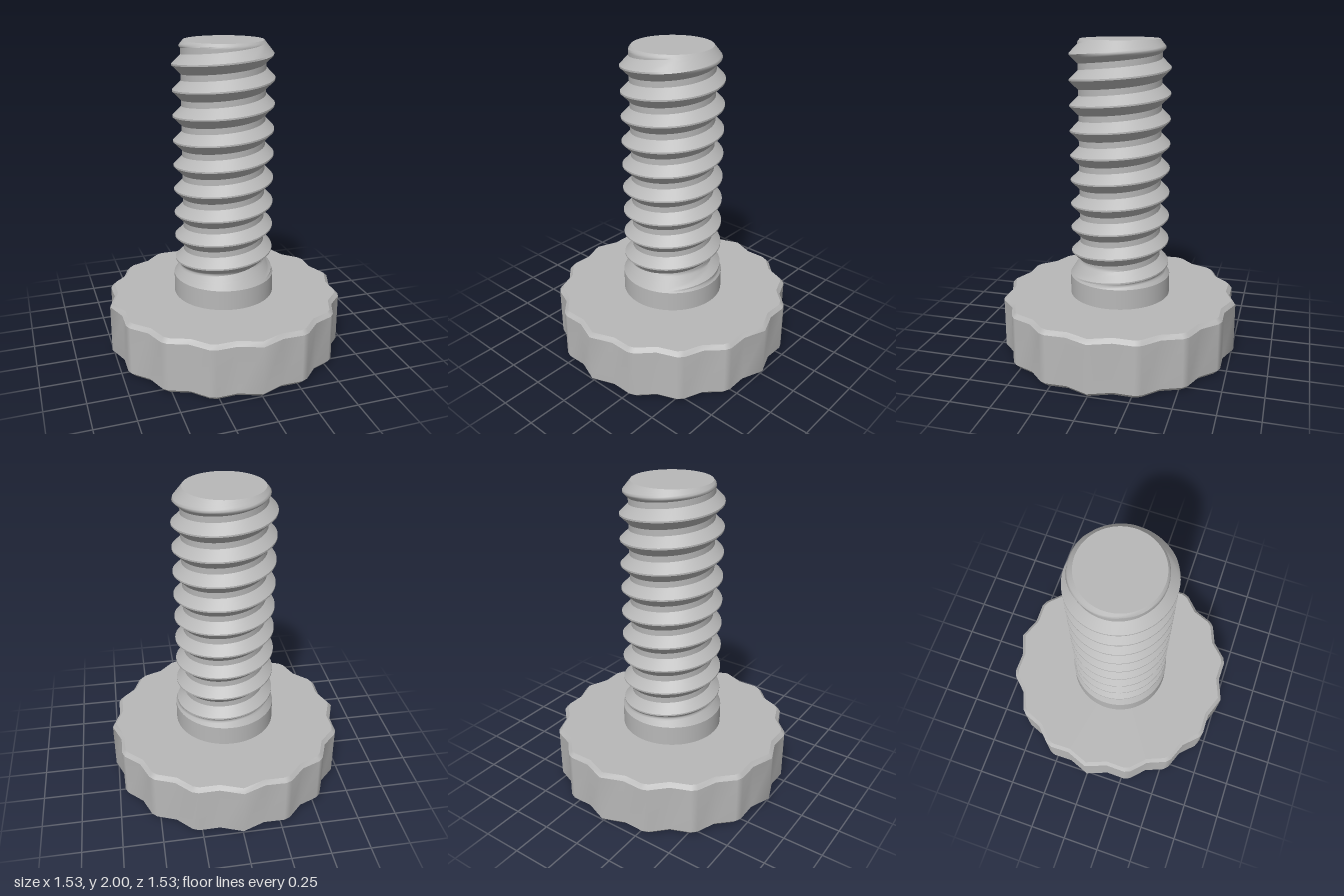
import * as THREE from 'three';

const PITCH = 0.157, CREST_R = 0.315, ROOT_R = 0.26, CREST_HALF = 0.005;
const THREAD_BOTTOM = 0.495, THREAD_TOP = 2, CREST_Y = 1.94, COLLAR_R = 0.325, TIP_R = 0.245;

// Smooth grid surface; u runs anticlockwise seen from above, v runs up the profile
function gridSurface(columns, rows, closed, pointAt) {
  const positions = [], index = [];
  const count = closed ? columns : columns + 1;
  for (let j = 0; j <= rows; j++) {
    for (let i = 0; i < count; i++) positions.push(...pointAt(i, j / rows));
  }
  for (let j = 0; j < rows; j++) {
    for (let i = 0; i < columns; i++) {
      const next = (i + 1) % count;
      const a = j * count + i, b = j * count + next;
      index.push(a, b, b + count, a, b + count, a + count);
    }
  }
  const geometry = new THREE.BufferGeometry();
  geometry.setAttribute('position', new THREE.Float32BufferAttribute(positions, 3));
  geometry.setIndex(index);
  geometry.computeVertexNormals();
  return geometry;
}

// Sixteen shallow lobes; the ones off the axes have narrow blunt tips
function gripOutline() {
  const points = [];
  const add = (degrees, r) => {
    const a = THREE.MathUtils.degToRad(degrees);
    points.push([r * Math.cos(a), -r * Math.sin(a)]);
  };
  for (let i = 0; i < 16; i++) {
    const peak = i * 22.5;
    if (i % 4 === 0) add(peak, 0.765);
    else {
      add(peak - 1.6, 0.763);
      add(peak + 1.6, 0.763);
    }
    add(peak + 11.25, 0.725);
  }
  return points;
}

// Radius of the threaded rod, including the tip chamfer and the run-out at the collar
function threadRadius(y, angle) {
  const turns = (y - CREST_Y) / PITCH - angle / (2 * Math.PI);
  const offset = Math.abs(turns - Math.round(turns)) * PITCH;
  const thread = THREE.MathUtils.clamp(CREST_R - (offset - CREST_HALF), ROOT_R, CREST_R);
  const runOut = COLLAR_R - (y - THREAD_BOTTOM) * 0.65;
  const chamfer = TIP_R + (THREAD_TOP - y) * 0.8;
  return Math.min(Math.max(thread, runOut), chamfer);
}

export function createModel() {
  const model = new THREE.Group();
  model.name = 'thumbScrew';
  const steel = new THREE.MeshStandardMaterial({ color: 0xb8b8b8 });
  steel.name = 'grey steel';

  const add = (parent, name, geometry) => {
    const mesh = new THREE.Mesh(geometry, steel);
    mesh.name = name;
    parent.add(mesh);
    return mesh;
  };

  // Scalloped head with chamfered rims: [outline scale, height]
  const head = new THREE.Group();
  head.name = 'head';
  model.add(head);
  const outline = gripOutline();
  const profile = [[0, 0], [0.968, 0], [1, 0.025], [1, 0.34], [0.968, 0.365], [0, 0.365]];
  const headNames = ['headBottom', 'lowerChamfer', 'headSide', 'upperChamfer', 'headTop'];
  headNames.forEach((name, k) => {
    const [s0, y0] = profile[k], [s1, y1] = profile[k + 1];
    add(head, name, gridSurface(outline.length, 1, true, (i, v) => {
      const s = s0 + (s1 - s0) * v;
      return [outline[i][0] * s, y0 + (y1 - y0) * v, outline[i][1] * s];
    }));
  });

  // Plain collar under the thread
  const collar = add(model, 'collar',
    new THREE.CylinderGeometry(COLLAR_R, COLLAR_R, THREAD_BOTTOM - 0.365, 72, 1, true));
  collar.position.y = (THREAD_BOTTOM + 0.365) / 2;

  // Right-hand thread: four helical ribbons, cut off at both ends
  const thread = new THREE.Group();
  thread.name = 'thread';
  model.add(thread);
  const flank = CREST_HALF + CREST_R - ROOT_R;
  const steps = [-CREST_HALF, CREST_HALF, flank, PITCH - flank, PITCH - CREST_HALF];
  const ribbonNames = ['threadCrest', 'threadUpperFlank', 'threadRoot', 'threadLowerFlank'];
  const perTurn = 72, turns = 13;
  ribbonNames.forEach((name, k) => {
    const rows = k === 0 ? 1 : 5;
    add(thread, name, gridSurface(perTurn * turns, rows, false, (i, v) => {
      const angle = (i / perTurn) * 2 * Math.PI;
      const rise = (i / perTurn - 11) * PITCH;
      const raw = CREST_Y + rise + steps[k] + (steps[k + 1] - steps[k]) * v;
      const y = THREE.MathUtils.clamp(raw, THREAD_BOTTOM, THREAD_TOP);
      const r = threadRadius(y, angle);
      return [r * Math.cos(angle), y, -r * Math.sin(angle)];
    }));
  });

  // Flat end of the rod
  const tip = add(model, 'rodEnd', new THREE.CircleGeometry(TIP_R, 72));
  tip.rotation.x = -Math.PI / 2;
  tip.position.y = THREAD_TOP;

  return model;
}
